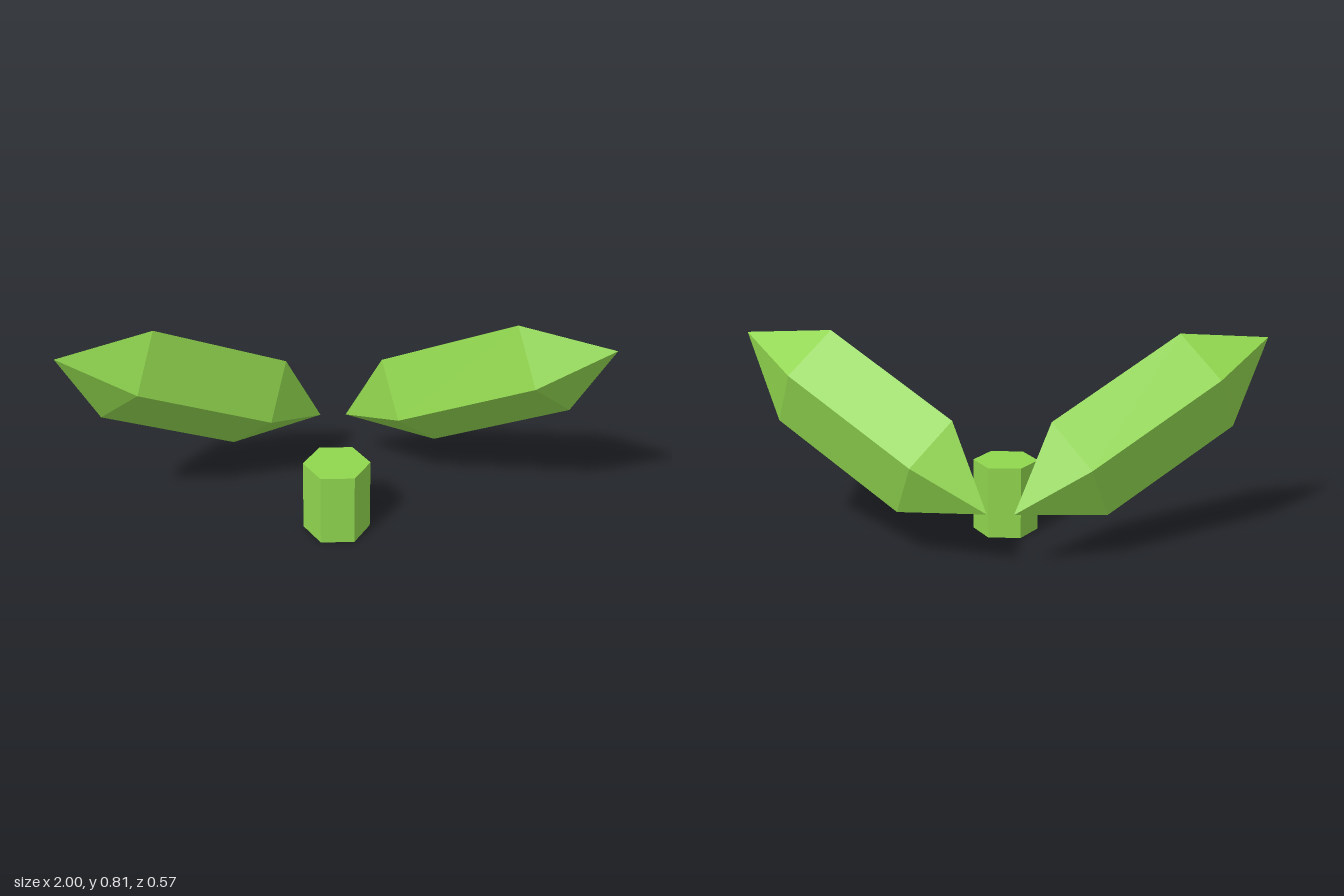
import * as THREE from 'three';

const leafGreen = new THREE.MeshStandardMaterial({ color: 0x90d64e });
leafGreen.name = 'leafGreen';

// Split faces so each keeps its own flat normal
function faceted(geometry) {
  const flat = geometry.toNonIndexed();
  flat.computeVertexNormals();
  return flat;
}

// Four-sided pointed leaf, placed by its width, length and thickness axes
function makeLeaf(side) {
  const profile = [[0, -1], [1, -0.5], [1, 0.5], [0, 1]].map(([r, y]) => new THREE.Vector2(r, y));
  const geometry = new THREE.LatheGeometry(profile, 4);
  const width = new THREE.Vector3(-0.105 * side, 0.179, 0);
  const length = new THREE.Vector3(0.475 * side, 0.275, 0.257);
  const thickness = new THREE.Vector3(0.045 * side, 0.0275, -0.11).multiplyScalar(side);
  const placement = new THREE.Matrix4()
    .makeBasis(width, length, thickness)
    .setPosition(0.525 * side, 0.495, -0.027);
  geometry.applyMatrix4(placement);
  const leaf = new THREE.Mesh(faceted(geometry), leafGreen);
  leaf.name = side > 0 ? 'leftLeaf' : 'rightLeaf';
  return leaf;
}

export function createModel() {
  const model = new THREE.Group();
  model.name = 'sprout';

  // Hexagonal stem with corners pointing sideways
  const stemGeometry = new THREE.CylinderGeometry(0.126, 0.126, 0.283, 6);
  stemGeometry.rotateY(Math.PI / 6);
  const stem = new THREE.Mesh(faceted(stemGeometry), leafGreen);
  stem.name = 'stem';
  stem.position.set(0, 0.1415, 0.173);
  model.add(stem);

  // Mirrored pair of leaves
  for (const side of [1, -1]) model.add(makeLeaf(side));
  return model;
}
